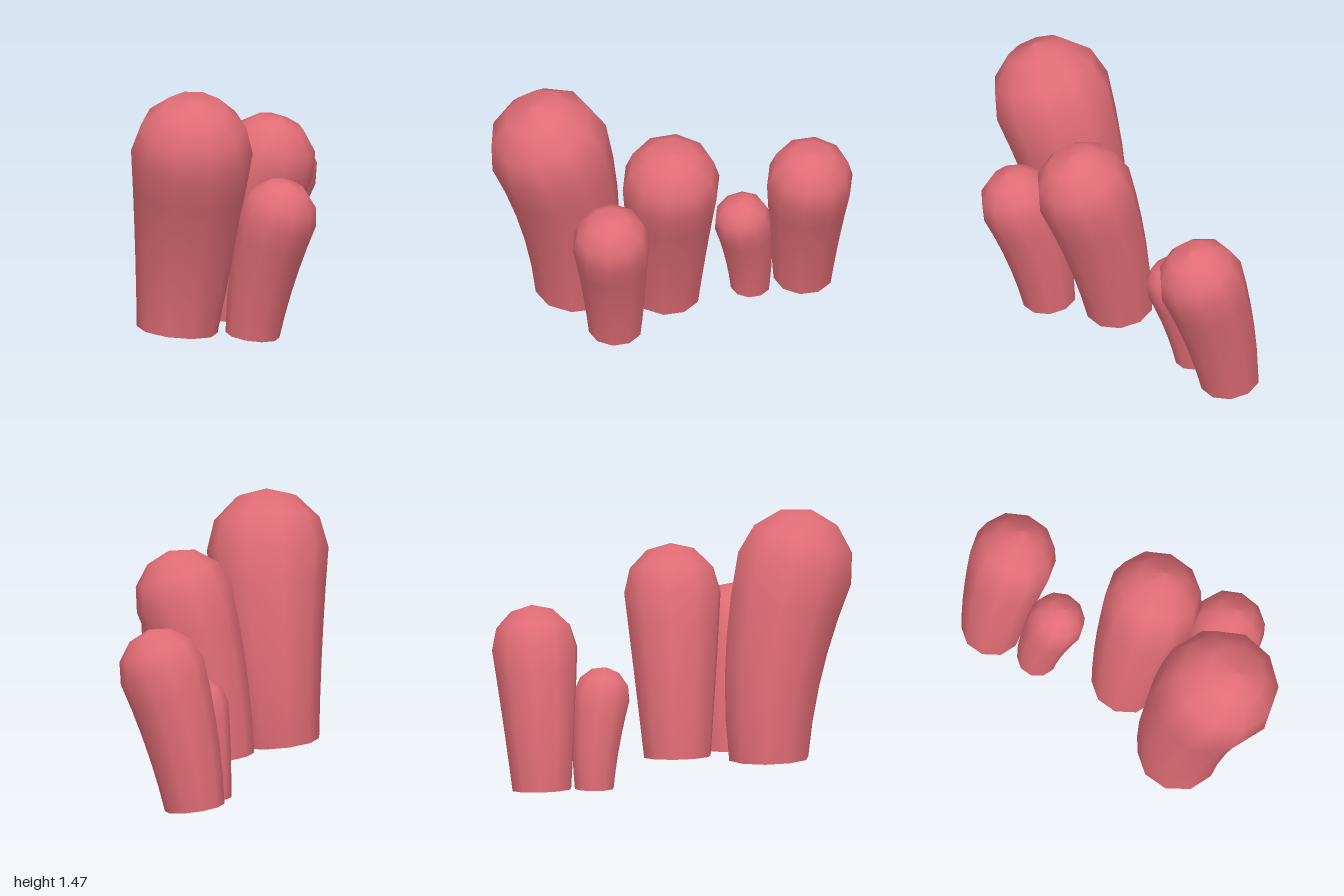
import * as THREE from 'three';

const SIDES = 10;
const UP = new THREE.Vector3(0, 1, 0);

// Bends an upright geometry of height `length` (plus its dome) along a curve.
function bend(geometry, curve, length) {
  const pos = geometry.attributes.position;
  const nor = geometry.attributes.normal;
  const p = new THREE.Vector3(), n = new THREE.Vector3(), q = new THREE.Quaternion();
  for (let i = 0; i < pos.count; i++) {
    p.fromBufferAttribute(pos, i);
    n.fromBufferAttribute(nor, i);
    const t = THREE.MathUtils.clamp(p.y / length, 0, 1);
    const tangent = curve.getTangent(t);
    q.setFromUnitVectors(UP, tangent);
    const beyond = Math.max(0, p.y - length);
    p.y = 0;
    p.applyQuaternion(q).add(curve.getPoint(t)).addScaledVector(tangent, beyond);
    n.applyQuaternion(q);
    pos.setXYZ(i, p.x, p.y, p.z);
    nor.setXYZ(i, n.x, n.y, n.z);
  }
  return geometry;
}

// A leaning stalk that widens upwards and ends in a round dome.
function makeStalk({ name, base, bendPoint, top, baseRadius, topRadius }, material) {
  const curve = new THREE.QuadraticBezierCurve3(
    new THREE.Vector3(...base), new THREE.Vector3(...bendPoint), new THREE.Vector3(...top));
  const length = curve.getLength();

  const profile = [];
  for (let i = 0; i < 5; i++) {
    const t = i / 5;
    profile.push(new THREE.Vector2(THREE.MathUtils.lerp(baseRadius, topRadius, t), t * length));
  }
  for (let i = 0; i <= 3; i++) {
    const a = (i * Math.PI) / 6;
    const r = i === 3 ? 0 : topRadius * Math.cos(a);
    profile.push(new THREE.Vector2(r, length + topRadius * Math.sin(a)));
  }

  const body = new THREE.Mesh(bend(new THREE.LatheGeometry(profile, SIDES), curve, length), material);
  body.name = 'stalkBody';

  // Flat underside
  const disc = new THREE.CircleGeometry(baseRadius, SIDES, Math.PI / 2).rotateX(Math.PI / 2);
  const underside = new THREE.Mesh(bend(disc, curve, length), material);
  underside.name = 'stalkUnderside';

  const stalk = new THREE.Group();
  stalk.name = name;
  stalk.add(body, underside);
  return stalk;
}

export function createModel() {
  const coral = new THREE.MeshStandardMaterial({ color: 0xe06c75 });
  coral.name = 'coralPink';

  const stalks = [
    { name: 'tallFrontStalk', base: [-0.27, 0.13, 0.49], bendPoint: [-0.22, 0.64, 0.49], top: [-0.14, 1.15, 0.665], baseRadius: 0.22, topRadius: 0.33 },
    { name: 'leftFrontStalk', base: [0.115, 0.095, 0.355], bendPoint: [0.16, 0.43, 0.365], top: [0.276, 0.765, 0.415], baseRadius: 0.147, topRadius: 0.212 },
    { name: 'middleStalk', base: [-0.11, 0.13, 0.02], bendPoint: [-0.045, 0.56, 0.025], top: [0.11, 0.99, 0.045], baseRadius: 0.185, topRadius: 0.268 },
    { name: 'backStalk', base: [-0.26, 0.03, -0.77], bendPoint: [-0.205, 0.4, -0.77], top: [-0.07, 0.77, -0.765], baseRadius: 0.163, topRadius: 0.237 },
    { name: 'smallStalk', base: [-0.245, 0.015, -0.475], bendPoint: [-0.22, 0.26, -0.47], top: [-0.155, 0.505, -0.412], baseRadius: 0.108, topRadius: 0.157 },
  ];

  const model = new THREE.Group();
  model.name = 'stalkCluster';
  for (const stalk of stalks) model.add(makeStalk(stalk, coral));
  return model;
}
